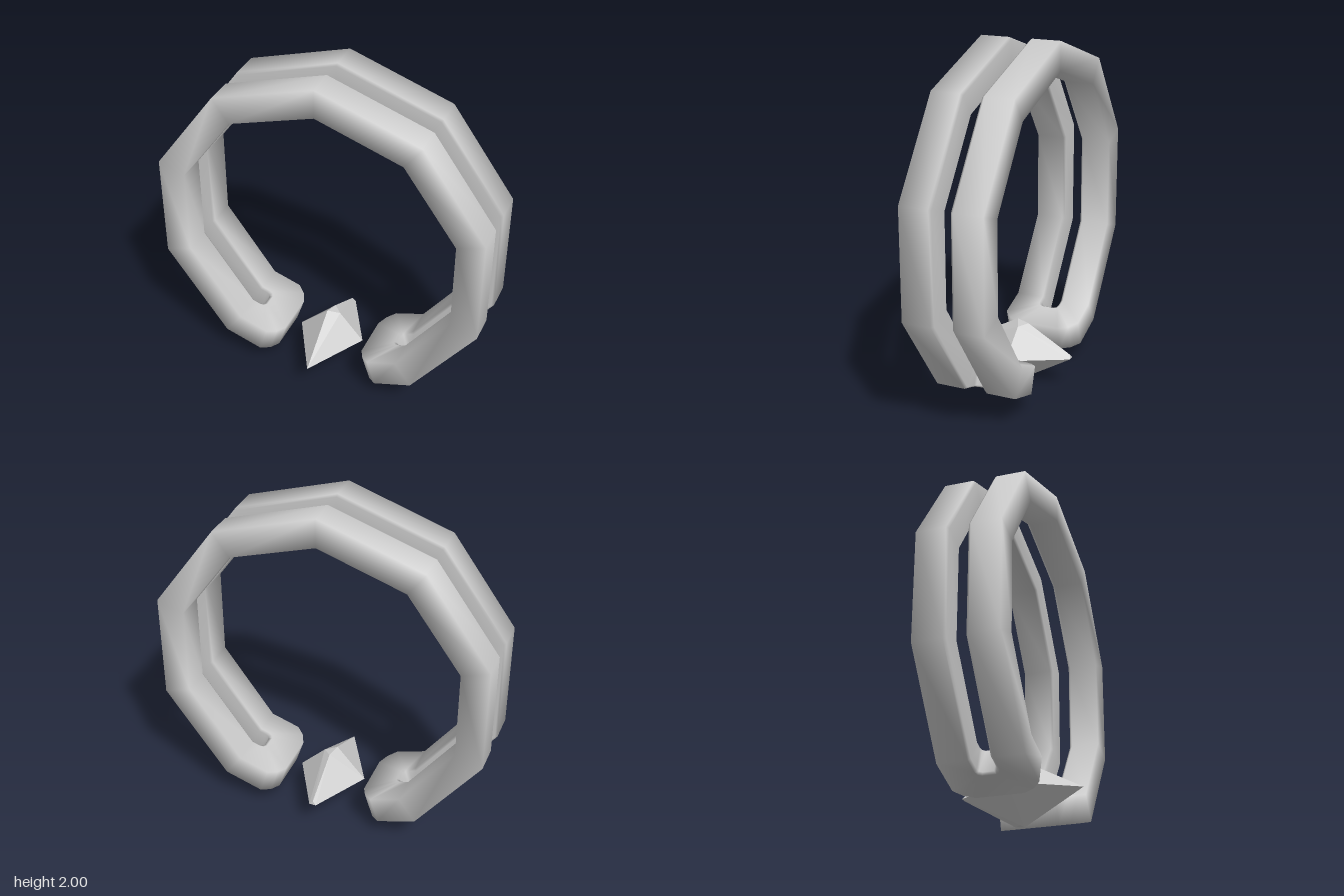
import * as THREE from 'three';
import { ConvexGeometry } from 'three/addons/geometries/ConvexGeometry.js';

const CENTER_Y = 0.995, CENTER_Z = -0.0225;
const R_OUT = 1.005, R_IN = 0.84;
const W_OUT = 0.2325, W_IN = 0.0525; // half widths of the band and of its slot
const STEP = Math.PI / 5;

// Corner of the ten-sided ring at radius r
function corner(angle) {
  return (r, w) => new THREE.Vector3(Math.cos(angle) * r, CENTER_Y + Math.sin(angle) * r, CENTER_Z + w);
}

// Point on the bottom side, at distance d from the middle of that side
function bottomSide(side, d) {
  const a = -0.4 * Math.PI, k = Math.cos(STEP / 2);
  return (r, w) => new THREE.Vector3(
    side * (Math.cos(a) * r * k - Math.sin(a) * d),
    CENTER_Y + Math.sin(a) * r * k + Math.cos(a) * d,
    CENTER_Z + w);
}

// Cross-section between the outer and inner track, chamfered next to the slot
function section(outer, wOuter, inner, wInner) {
  const c = 0.012;
  const at = (r, t) => outer(r, wOuter).lerp(inner(r, wInner), t);
  return [at(R_OUT, 0), at(R_OUT, 0.92), at(R_OUT - c, 1), at(R_IN + c, 1), at(R_IN, 0.92), at(R_IN, 0)];
}

// Hairpin turn that joins the front and back bands at one end
function hairpin(side) {
  const half = [ // outer d, outer w, inner d, inner w
    [0.08, W_OUT, 0.22, W_IN],
    [0.03, 0.19, 0.2, 0.047],
    [0, 0.13, 0.19, 0.03],
  ];
  const mirrored = half.map(([a, b, c, d]) => [a, -b, c, -d]).reverse();
  return [...half, ...mirrored].map(([dO, wO, dI, wI]) =>
    section(bottomSide(side, dO), wO, bottomSide(side, dI), wI));
}

// One closed loop: front band, left turn, back band, right turn
function bandGeometry() {
  const front = [], back = [];
  for (let i = 0; i < 9; i++) {
    const p = corner(-0.3 * Math.PI + i * STEP);
    front.push(section(p, W_OUT, p, W_IN));
    back.unshift(section(p, -W_OUT, p, -W_IN));
  }
  const rings = [...front, ...hairpin(-1), ...back, ...hairpin(1).reverse()];
  const n = rings[0].length, index = [];
  for (let s = 0; s < rings.length; s++) {
    const t = (s + 1) % rings.length;
    for (let k = 0; k < n; k++) {
      const m = (k + 1) % n;
      const a = s * n + k, b = t * n + k, c = s * n + m, d = t * n + m;
      index.push(a, c, b, b, c, d);
    }
  }
  const geometry = new THREE.BufferGeometry().setFromPoints(rings.flat());
  geometry.setIndex(index);
  geometry.computeVertexNormals();
  return geometry;
}

// Pointed crystal with slightly blunted top, back and bottom tips
function crystalGeometry() {
  return new ConvexGeometry([
    [-0.2, 0.19, -0.02], [0.2, 0.19, -0.02], [0, 0.19, 0.335],
    [-0.02, 0.365, 0], [0.05, 0.345, -0.03], [0, 0.355, -0.075],
    [-0.02, 0.185, -0.34], [0.02, 0.185, -0.34], [0, 0.205, -0.335],
    [0, 0, 0.01], [0.01, 0.008, -0.045], [-0.02, 0.01, -0.01],
  ].map((p) => new THREE.Vector3(...p)));
}

export function createModel() {
  const group = new THREE.Group();
  group.name = 'openRing';

  const band = new THREE.Mesh(bandGeometry(), new THREE.MeshStandardMaterial({ color: 0xcccccc }));
  band.name = 'doubleBand';

  const crystal = new THREE.Mesh(crystalGeometry(),
    new THREE.MeshStandardMaterial({ color: 0xcccccc, flatShading: true }));
  crystal.name = 'crystal';

  group.add(band, crystal);
  return group;
}
